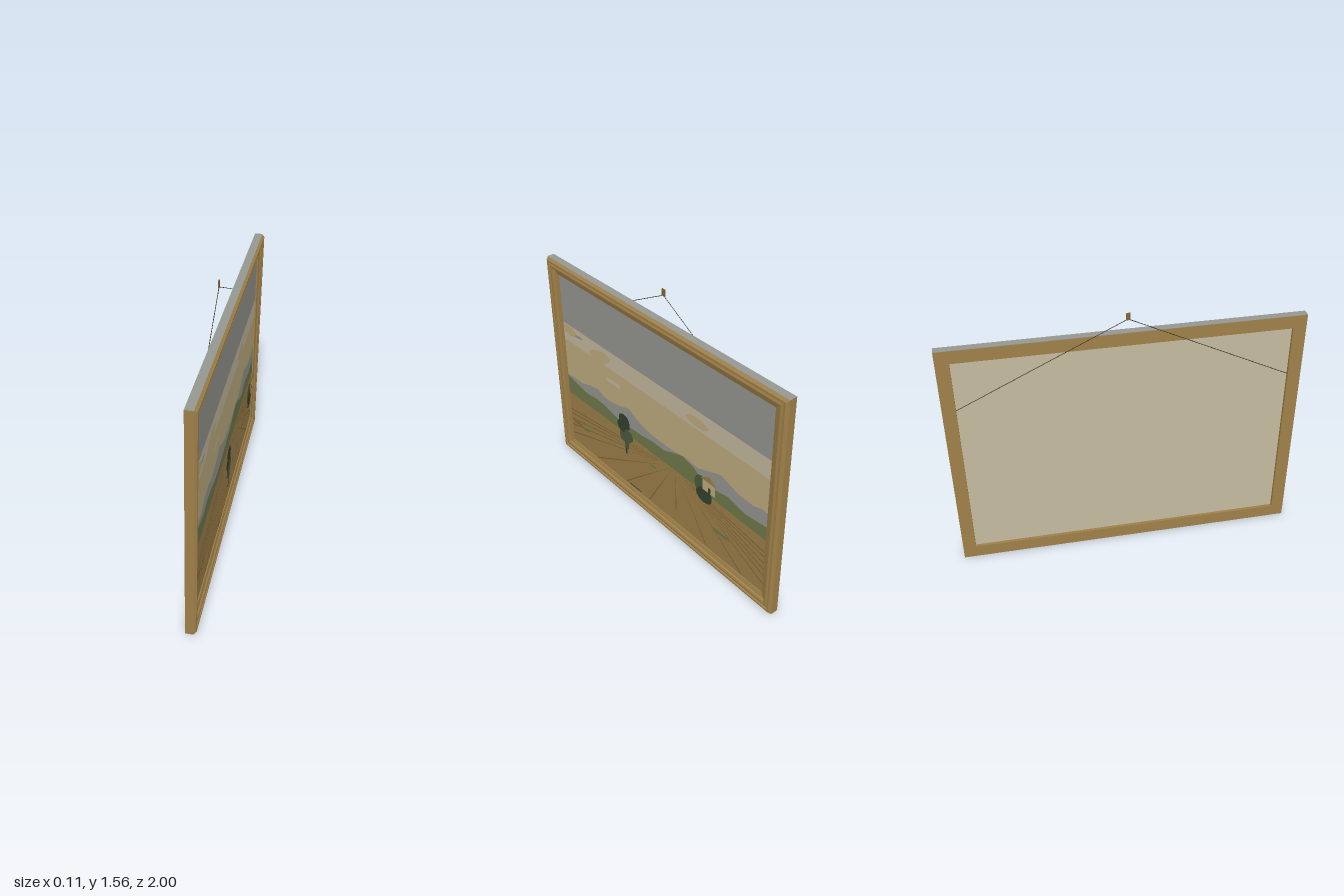
import * as THREE from 'three';

const mat = (name, color) => new THREE.MeshStandardMaterial({ name, color, side: THREE.DoubleSide });

export function createModel() {
  const gold = mat('gold ochre', 0x9f8049);
  const gray = mat('sky gray', 0x959790);
  const pale = mat('pale canvas', 0xc4ba9f);
  const cream = mat('warm cream', 0xc0ad80);
  const green = mat('hill green', 0x6f7a4b);
  const leaf = mat('leaf green', 0x4b5a3c);
  const dark = mat('dark green', 0x344030);
  const brown = mat('furrow brown', 0x836639);
  const iron = mat('dark iron', 0x3a3428);

  const root = new THREE.Group();
  root.name = 'hangingPainting';
  const tilt = new THREE.Group();
  tilt.name = 'tiltedPainting';
  tilt.rotation.z = -0.0259;
  tilt.position.set(-0.055, 0.0016, 0);
  root.add(tilt);
  // inside this group x runs along the picture, y up, z out of the canvas
  const pic = new THREE.Group();
  pic.name = 'painting';
  pic.rotation.y = Math.PI / 2;
  tilt.add(pic);

  const add = (parent, name, geo, material, x = 0, y = 0, z = 0) => {
    const m = new THREE.Mesh(geo, material);
    m.name = name;
    m.position.set(x, y, z);
    parent.add(m);
    return m;
  };
  const V = (p) => new THREE.Vector2(p[0], p[1]);
  const plate = (name, pts, material, z) =>
    add(pic, name, new THREE.ShapeGeometry(new THREE.Shape(pts.map(V))), material, 0, 0, z);
  const rect = (name, x0, y0, x1, y1, material, z) =>
    plate(name, [[x0, y0], [x1, y0], [x1, y1], [x0, y1]], material, z);
  // closed smooth blob through a few points
  const blob = (name, pts, material, z) => {
    const c = new THREE.CatmullRomCurve3(pts.map((p) => new THREE.Vector3(p[0], p[1], 0)), true);
    return plate(name, c.getPoints(28).slice(0, -1).map((p) => [p.x, p.y]), material, z);
  };

  // moulded frame: profile of [inset, depth] swept round four mitred corners
  const W = 1, H = 1.419;
  const profile = [[0, 0], [0, 0.045], [0.012, 0.06], [0.024, 0.06], [0.03, 0.052], [0.044, 0.057],
    [0.058, 0.053], [0.064, 0.045], [0.088, 0.038], [0.088, 0.031], [0.075, 0.031], [0.075, 0]];
  const corner = (k, [i, d]) => [
    [-W + i, i, d], [W - i, i, d], [W - i, H - i, d], [-W + i, H - i, d]][k % 4];
  const pos = [];
  for (let k = 0; k < 4; k++) {
    profile.forEach((p, j) => {
      const q = profile[(j + 1) % profile.length];
      const a = corner(k, p), b = corner(k + 1, p), c = corner(k + 1, q), d = corner(k, q);
      pos.push(...a, ...b, ...c, ...a, ...c, ...d);
    });
  }
  const frameGeo = new THREE.BufferGeometry();
  frameGeo.setAttribute('position', new THREE.Float32BufferAttribute(pos, 3));
  frameGeo.computeVertexNormals();
  add(pic, 'frame', frameGeo, gold);
  add(pic, 'frameTopDust', new THREE.BoxGeometry(2, 0.002, 0.046), gray, 0, H + 0.001, 0.023);

  // canvas and flat bands of sky and land
  const E = 0.922;
  add(pic, 'canvas', new THREE.BoxGeometry(1.85, 1.27, 0.01), pale, 0, 0.71, 0.023);
  rect('upperSky', -E, 1.005, E, 1.342, gray, 0.0295);
  rect('middleSky', -E, 0.885, E, 1.005, pale, 0.0295);
  rect('lowerSky', -E, 0.47, E, 0.885, cream, 0.0295);
  const ridge = (name, pts, material, z) =>
    plate(name, [[-E, 0.47], ...pts, [E, 0.47]], material, z);
  ridge('farHills', [[-E, 0.62], [-0.75, 0.625], [-0.67, 0.65], [-0.58, 0.668], [-0.51, 0.645],
    [-0.46, 0.64], [-0.35, 0.662], [-0.26, 0.69], [-0.19, 0.655], [-0.1, 0.625], [0, 0.618],
    [0.16, 0.618], [0.25, 0.635], [0.37, 0.625], [0.45, 0.655], [0.55, 0.693], [0.69, 0.65],
    [0.8, 0.645], [0.87, 0.667], [E, 0.655]], gray, 0.0305);
  ridge('nearHills', [[-E, 0.612], [-0.78, 0.585], [-0.7, 0.572], [-0.6, 0.585], [-0.51, 0.58],
    [-0.4, 0.555], [-0.33, 0.547], [-0.14, 0.56], [-0.03, 0.575], [0.07, 0.572], [0.16, 0.607],
    [0.235, 0.63], [0.32, 0.613], [0.4, 0.57], [0.48, 0.553], [0.61, 0.58], [0.74, 0.55],
    [E, 0.57]], green, 0.0315);
  plate('field', [[-E, 0.08], [E, 0.08], [E, 0.475], [0.4, 0.488], [-0.1, 0.488], [-E, 0.48]], gold, 0.0325);

  // furrows fanning out from the vanishing point
  const ends = [[-0.91, 0.345], [-0.91, 0.31], [-0.91, 0.265], [-0.91, 0.22], [-0.91, 0.15],
    [-0.63, 0.097], [-0.315, 0.097], [-0.08, 0.097], [0.18, 0.2], [0.45, 0.097], [0.745, 0.097],
    [0.91, 0.155], [0.91, 0.22], [0.91, 0.265], [0.91, 0.31], [0.91, 0.355], [0.91, 0.39]];
  ends.forEach(([x, y]) => {
    const sx = 0.17 + (x - 0.17) * 0.08, sy = 0.485;
    const len = Math.hypot(x - sx, y - sy);
    const nx = -(y - sy) / len * 0.005, ny = (x - sx) / len * 0.005;
    plate('furrow', [[sx, sy], [x - nx, y - ny], [x + nx, y + ny]], brown, 0.0335);
  });

  // clouds
  blob('cloud', [[-0.64, 0.91], [-0.6, 0.885], [-0.52, 0.885], [-0.45, 0.92], [-0.42, 0.955],
    [-0.47, 0.975], [-0.53, 0.97], [-0.6, 0.945]], cream, 0.034);
  blob('cloud', [[0.265, 0.935], [0.3, 0.91], [0.37, 0.905], [0.43, 0.915], [0.445, 0.94],
    [0.4, 0.96], [0.35, 0.965], [0.3, 0.955]], cream, 0.034);
  blob('cloud', [[-0.905, 0.965], [-0.87, 0.94], [-0.8, 0.945], [-0.735, 0.965], [-0.78, 0.98],
    [-0.8, 1.0], [-0.86, 1.003], [-0.9, 0.995]], cream, 0.034);

  // loose brush strokes: x, y, width, height, slope, colour
  [[-0.69, 1.265, 0.23, 0.024, 0, gray], [-0.11, 1.275, 0.08, 0.022, -0.05, gray],
    [0.275, 1.275, 0.24, 0.02, 0, gray], [0.655, 1.3, 0.15, 0.02, -0.07, gray],
    [0.82, 1.25, 0.16, 0.015, -0.06, gray], [-0.745, 0.965, 0.07, 0.018, 0.1, gray],
    [0.845, 0.925, 0.11, 0.014, 0.04, pale], [-0.4, 0.805, 0.13, 0.024, 0.03, pale],
    [0.735, 0.775, 0.13, 0.012, 0.04, cream], [-0.71, 0.415, 0.075, 0.02, -0.2, gold],
    [-0.74, 0.262, 0.07, 0.024, 0.2, green], [-0.83, 0.265, 0.09, 0.014, 0.1, brown],
    [-0.03, 0.392, 0.055, 0.013, 0.1, green], [-0.28, 0.37, 0.08, 0.013, 0.1, gold],
    [-0.035, 0.285, 0.11, 0.02, 0.02, gold], [0.575, 0.275, 0.125, 0.022, 0.02, green],
    [0.515, 0.345, 0.09, 0.014, 0.05, gold], [0.36, 0.375, 0.09, 0.018, 0.1, gold],
    [0.74, 0.195, 0.035, 0.02, -0.1, gold], [0.885, 0.14, 0.04, 0.018, 0.15, gold],
    [0.36, 0.185, 0.06, 0.018, 0, gold], [-0.22, 0.105, 0.12, 0.012, 0.03, leaf],
  ].forEach(([x, y, w, h, r, m]) => {
    add(pic, 'brushStroke', new THREE.PlaneGeometry(w, h), m, x, y, 0.035).rotation.z = r;
  });

  // tall tree, raised in front of the canvas
  plate('treeTrunk', [[-0.242, 0.39], [-0.226, 0.39], [-0.22, 0.54], [-0.25, 0.54]], dark, 0.079);
  blob('treeLowerCrown', [[-0.29, 0.54], [-0.285, 0.48], [-0.245, 0.475], [-0.235, 0.435], [-0.21, 0.44],
    [-0.2, 0.49], [-0.165, 0.52], [-0.17, 0.56], [-0.21, 0.58], [-0.26, 0.57]], leaf, 0.08);
  blob('treeUpperCrown', [[-0.315, 0.585], [-0.295, 0.55], [-0.25, 0.545], [-0.235, 0.575], [-0.195, 0.59],
    [-0.19, 0.63], [-0.21, 0.67], [-0.25, 0.68], [-0.29, 0.66], [-0.295, 0.62]], dark, 0.081);

  // bush and cottage
  blob('bushUpper', [[0.395, 0.59], [0.41, 0.54], [0.45, 0.525], [0.5, 0.545], [0.51, 0.6],
    [0.48, 0.645], [0.44, 0.65], [0.41, 0.63]], leaf, 0.08);
  blob('bushLower', [[0.41, 0.53], [0.43, 0.49], [0.48, 0.478], [0.53, 0.5], [0.535, 0.555],
    [0.5, 0.58], [0.45, 0.575]], dark, 0.081);
  rect('cottageWall', 0.47, 0.575, 0.57, 0.65, cream, 0.087);
  rect('cottageDoor', 0.514, 0.575, 0.534, 0.612, dark, 0.088);
  plate('cottageRoof', [[0.452, 0.648], [0.588, 0.648], [0.522, 0.693]], gold, 0.089);

  // hanging wire and wall hook
  const apex = new THREE.Vector3(-0.055, 1.525, 0);
  for (const s of [-1, 1]) {
    const line = new THREE.LineCurve3(apex, new THREE.Vector3(-0.024, 1.055, 0.925 * s));
    add(root, 'hangingWire', new THREE.TubeGeometry(line, 1, 0.0018, 6), iron);
  }
  add(root, 'wallHook', new THREE.BoxGeometry(0.006, 0.04, 0.024), brown, -0.056, 1.54, 0);
  return root;
}
